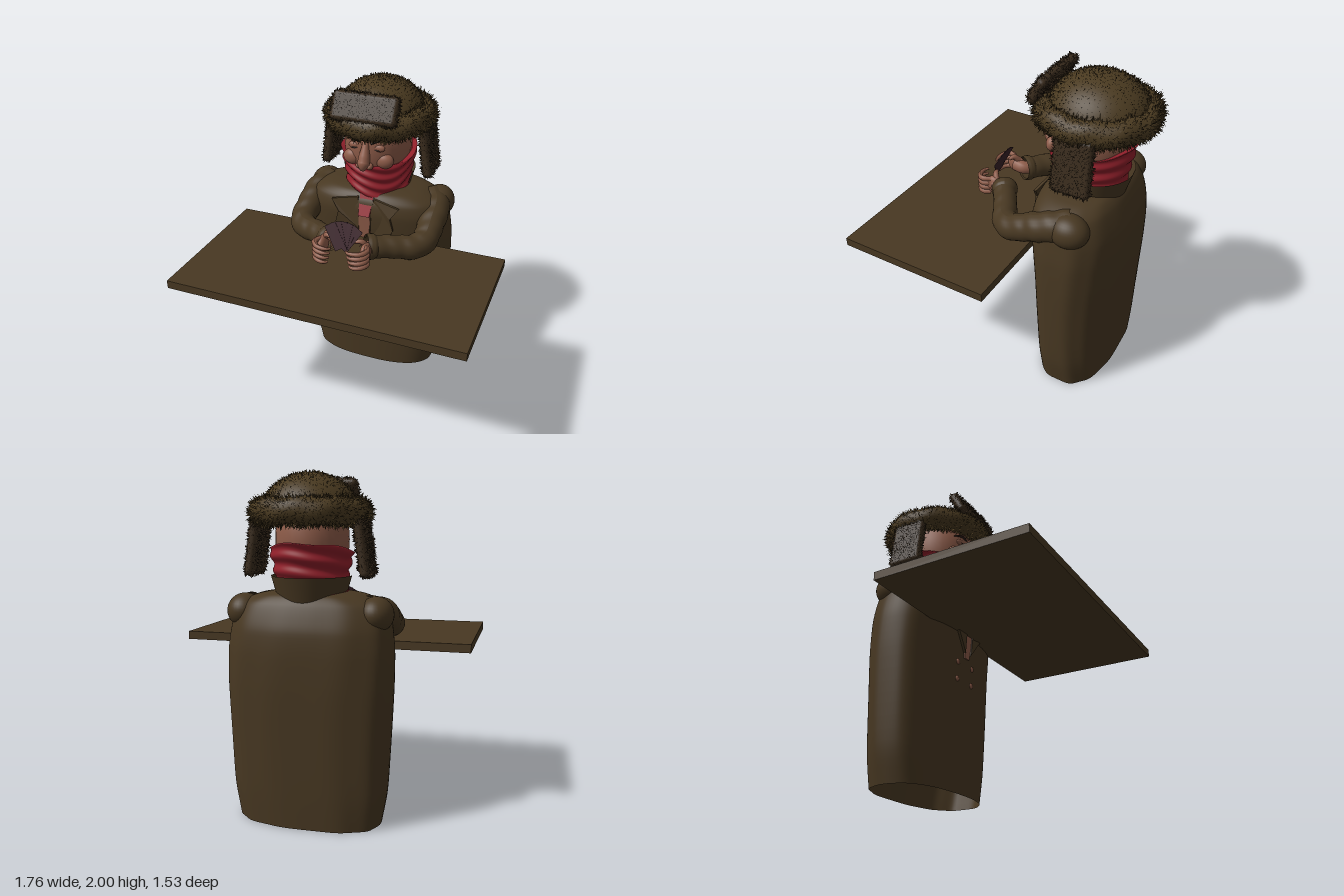
import * as THREE from 'three';
import { RoundedBoxGeometry } from 'three/addons/geometries/RoundedBoxGeometry.js';

const V = (x, y, z) => new THREE.Vector3(x, y, z);
const paint = (name, color, side = THREE.FrontSide) => {
  const m = new THREE.MeshStandardMaterial({ color, side });
  m.name = name;
  return m;
};

let seed = 7;
const rand = () => (seed = (seed * 16807) % 2147483647) / 2147483647;

// Closed loft: f(u, a) gives a point for height u (0..1) and angle a (0 = front)
function loft(rows, cols, f) {
  const pos = [], idx = [];
  for (let i = 0; i <= rows; i++)
    for (let j = 0; j < cols; j++) pos.push(...f(i / rows, (j / cols) * Math.PI * 2));
  for (let i = 0; i < rows; i++)
    for (let j = 0; j < cols; j++) {
      const a = i * cols + j, b = i * cols + ((j + 1) % cols);
      idx.push(a, b, a + cols, b, b + cols, a + cols);
    }
  const g = new THREE.BufferGeometry();
  g.setAttribute('position', new THREE.Float32BufferAttribute(pos, 3));
  g.setIndex(idx);
  g.computeVertexNormals();
  return g;
}

// Tube with a radius that varies along its path, plus optional wrinkles
function limb(pts, radii, steps = 24, sides = 16, wrinkle = 0) {
  const curve = new THREE.CatmullRomCurve3(pts);
  const g = new THREE.TubeGeometry(curve, steps, 1, sides);
  const p = g.attributes.position, v = V(0, 0, 0);
  for (let i = 0; i < p.count; i++) {
    const t = Math.floor(i / (sides + 1)) / steps, k = t * (radii.length - 1);
    const n = Math.min(Math.floor(k), radii.length - 2);
    let r = THREE.MathUtils.lerp(radii[n], radii[n + 1], k - n);
    r *= 1 + wrinkle * Math.sin(t * 48 + 2 * Math.sin(((i % (sides + 1)) / sides) * Math.PI * 2));
    const c = curve.getPointAt(t);
    v.fromBufferAttribute(p, i).sub(c).multiplyScalar(r).add(c);
    p.setXYZ(i, v.x, v.y, v.z);
  }
  g.computeVertexNormals();
  return g;
}

// Scatters small hair blades over a surface
function tufts(geometry, density, length) {
  const src = geometry.index ? geometry.toNonIndexed() : geometry;
  const p = src.attributes.position, pos = [], nor = [];
  const a = V(), b = V(), c = V();
  for (let i = 0; i < p.count; i += 3) {
    a.fromBufferAttribute(p, i);
    b.fromBufferAttribute(p, i + 1).sub(a);
    c.fromBufferAttribute(p, i + 2).sub(a);
    const n = b.clone().cross(c), area = n.length() / 2;
    if (area < 1e-9) continue;
    n.normalize();
    for (let k = Math.floor(area * density + rand()); k > 0; k--) {
      let s = rand(), t = rand();
      if (s + t > 1) { s = 1 - s; t = 1 - t; }
      const root = a.clone().addScaledVector(b, s).addScaledVector(c, t);
      const lean = V(rand() - 0.5, rand() - 0.5, rand() - 0.5);
      const side = lean.clone().cross(n).normalize().multiplyScalar(0.006);
      const tip = root.clone().addScaledVector(n, length * (0.5 + rand() * 0.7)).addScaledVector(lean, length * 1.5);
      for (const q of [root.clone().sub(side), root.clone().add(side), tip]) {
        pos.push(q.x, q.y, q.z);
        nor.push(n.x, n.y, n.z);
      }
    }
  }
  const g = new THREE.BufferGeometry();
  g.setAttribute('position', new THREE.Float32BufferAttribute(pos, 3));
  g.setAttribute('normal', new THREE.Float32BufferAttribute(nor, 3));
  return g;
}

// Coat outline: height, half width, front z, back z
const COAT = [
  [0, 0.42, -0.18, -0.62], [0.2, 0.455, -0.17, -0.63], [0.5, 0.472, -0.158, -0.64], [0.8, 0.483, -0.147, -0.65],
  [1.0, 0.48, -0.13, -0.65], [1.12, 0.465, -0.118, -0.64], [1.2, 0.45, -0.115, -0.615], [1.27, 0.41, -0.13, -0.585],
  [1.315, 0.31, -0.165, -0.55], [1.335, 0.18, -0.22, -0.5], [1.34, 0.08, -0.3, -0.42],
];
const frontZ = (y) => {
  const i = Math.max(1, COAT.findIndex((r) => r[0] >= y));
  const [p, q] = [COAT[i - 1], COAT[i]];
  return THREE.MathUtils.lerp(p[2], q[2], (y - p[0]) / (q[0] - p[0]));
};
const power = (v, e) => Math.sign(v) * Math.abs(v) ** e;

export function createModel() {
  const model = new THREE.Group();
  const coat = paint('coat brown', 0x483822, THREE.DoubleSide);
  const wood = paint('table brown', 0x483822);
  const skin = paint('skin', 0x8e5c49);
  const red = paint('scarf red', 0x901f2a, THREE.DoubleSide);
  const fur = paint('hat fur', 0x4a3a20, THREE.DoubleSide);
  const darkFur = paint('dark fur', 0x3a2c1d, THREE.DoubleSide);
  const cardBack = paint('card purple', 0x3b2229);
  const dark = paint('brow dark', 0x2c1d17);

  const add = (name, geometry, material, x = 0, y = 0, z = 0) => {
    const m = new THREE.Mesh(geometry, material);
    m.name = name;
    m.position.set(x, y, z);
    model.add(m);
    return m;
  };
  const ball = (name, material, x, y, z, rx, ry, rz) =>
    add(name, new THREE.SphereGeometry(1, 32, 20), material, x, y, z).scale.set(rx, ry, rz);

  // Table
  add('tableTop', new THREE.BoxGeometry(1.765, 0.05, 0.935), wood, 0, 1.005, 0.288);

  // Coat body with soft vertical folds, open at the hem
  const outer = new THREE.CatmullRomCurve3(COAT.map((r) => V(r[1], r[0], r[2])), false, 'catmullrom', 0.4);
  const rear = new THREE.CatmullRomCurve3(COAT.map((r) => V(0, r[0], r[3])), false, 'catmullrom', 0.4);
  add('coatBody', loft(44, 96, (u, a) => {
    const p = outer.getPoint(u), b = rear.getPoint(u).z;
    const back = Math.max(0, 0.4 - Math.cos(a));
    const fold = 1 + 0.011 * Math.sin(a * 11 + 1.5 * Math.sin(p.y * 3)) * Math.min(1, back + 0.2) * (1 - u * 0.6);
    const mid = (p.z + b) / 2, half = (p.z - b) / 2;
    return [p.x * power(Math.sin(a), 0.78) * fold, p.y, mid + half * power(Math.cos(a), 0.78) * fold];
  }), coat);

  // Thin pieces lying on the coat front
  const plate = (name, pts, material, lift, depth) => {
    const g = new THREE.ExtrudeGeometry(new THREE.Shape(pts.map((p) => new THREE.Vector2(...p))), { depth, bevelEnabled: false });
    const p = g.attributes.position;
    for (let i = 0; i < p.count; i++) p.setZ(i, p.getZ(i) + lift + frontZ(p.getY(i)));
    g.computeVertexNormals();
    add(name, g, material);
  };
  plate('shirtStrip', [[-0.025, 0.83], [0.025, 0.83], [0.038, 1.0], [0.038, 1.2], [-0.038, 1.2], [-0.038, 1.0]], skin, 0.004, 0.008);
  plate('scarfEnd', [[-0.036, 1.19], [0.036, 1.19], [0.045, 1.32], [-0.045, 1.32]], red, 0.006, 0.016);
  for (const s of [1, -1]) {
    plate('lapel', [[0.03, 0.86], [0.13, 0.99], [0.19, 1.12], [0.17, 1.2], [0.22, 1.27], [0.05, 1.3], [0.036, 1.1]]
      .map(([x, y]) => [x * s, y]), coat, 0.003, 0.016);
    for (const y of [0.79, 0.68]) ball('button', skin, s * 0.08, y, frontZ(y), 0.017, 0.017, 0.01);
  }

  // Turned-up collar behind the neck
  const collar = new THREE.CylinderGeometry(0.245, 0.2, 0.15, 40, 3, true, Math.PI * 0.45, Math.PI * 1.1);
  add('collar', collar, coat, 0, 1.345, -0.375).scale.x = 0.93;

  // Sleeves, cuffs and hands
  for (const s of [1, -1]) {
    const path = [[0.34, 1.235, -0.43], [0.39, 1.215, -0.34], [0.403, 1.165, -0.2], [0.4, 1.115, -0.07],
      [0.355, 1.105, 0], [0.25, 1.12, 0.065], [0.12, 1.14, 0.15]].map(([x, y, z]) => V(s * x, y, z));
    add('sleeve', limb(path, [0.085, 0.09, 0.086, 0.08, 0.078, 0.072, 0.07, 0.068], 60, 24, 0.025), coat);
    ball('shoulder', coat, s * 0.385, 1.215, -0.43, 0.1, 0.1, 0.12);
    add('cuff', limb([V(s * 0.165, 1.133, 0.12), V(s * 0.14, 1.137, 0.137), V(s * 0.112, 1.141, 0.155)],
      [0.066, 0.078, 0.079, 0.074], 12, 24), coat);
    add('wrist', limb([V(s * 0.18, 1.13, 0.11), V(s * 0.125, 1.14, 0.16), V(s * 0.13, 1.145, 0.22)], [0.04, 0.04, 0.045]), skin);
    ball('palm', skin, s * 0.135, 1.145, 0.22, 0.03, 0.058, 0.06);
    for (let i = 0; i < 4; i++) {
      const y = 1.095 + i * 0.031, reach = 0.006 * i;
      add('finger', limb([V(s * 0.145, y, 0.23), V(s * 0.162, y, 0.28), V(s * 0.13, y - 0.005, 0.32),
        V(s * (0.085 - reach), y - 0.008, 0.325), V(s * (0.066 - reach), y - 0.008, 0.31)],
      [0.015, 0.017, 0.015, 0.013, 0.007], 16, 10), skin);
    }
    add('thumb', limb([V(s * 0.13, 1.18, 0.2), V(s * 0.105, 1.21, 0.22), V(s * 0.07, 1.205, 0.235)], [0.02, 0.017, 0.008], 12, 10), skin);
  }

  // Fan of cards
  const hand = new THREE.Group();
  hand.name = 'cardFan';
  hand.position.set(0, 1.155, 0.262);
  hand.rotation.x = -0.34;
  for (let i = 0; i < 6; i++) {
    const card = new THREE.Mesh(new THREE.BoxGeometry(0.072, 0.16, 0.002).translate(0, 0.085, i * 0.002), cardBack);
    card.name = 'card';
    card.rotation.z = (i - 2.5) * 0.22;
    hand.add(card);
  }
  model.add(hand);

  // Head and face
  ball('head', skin, 0, 1.62, -0.355, 0.207, 0.3, 0.235);
  add('neck', new THREE.CylinderGeometry(0.14, 0.15, 0.25, 24), skin, 0, 1.4, -0.37);
  add('nose', limb([V(0, 1.68, -0.135), V(0, 1.62, -0.115), V(0, 1.56, -0.095), V(0, 1.53, -0.085), V(0, 1.51, -0.105)],
    [0.016, 0.024, 0.034, 0.038, 0.01], 24, 16), skin);
  for (const s of [1, -1]) {
    ball('nostril', skin, s * 0.034, 1.53, -0.108, 0.02, 0.02, 0.026);
    ball('cheek', skin, s * 0.1, 1.55, -0.175, 0.06, 0.05, 0.04);
    ball('eyelid', skin, s * 0.077, 1.638, -0.146, 0.038, 0.023, 0.018);
    add('eyeSlit', limb([V(s * 0.042, 1.632, -0.135), V(s * 0.077, 1.628, -0.129), V(s * 0.112, 1.632, -0.148)], [0.002, 0.004, 0.002], 10, 6), dark);
    add('eyebrow', limb([V(s * 0.035, 1.668, -0.124), V(s * 0.075, 1.685, -0.137), V(s * 0.125, 1.675, -0.168)], [0.006, 0.008, 0.003], 12, 8), dark);
  }

  // Scarf: wrinkled wrap, higher at the back, with a rolled lip
  add('scarf', loft(40, 80, (u, a) => {
    const t = Math.min(1, u / 0.9), lip = Math.max(0, u - 0.9) / 0.1;
    const c = Math.cos(a), f = (1 + c) / 2;
    const wave = 0.008 * Math.sin(t * 20 + 2.2 * Math.sin(a * 2) + Math.sin(a * 3)) * (1 - lip);
    const rx = 0.2 + 0.038 * t * t + wave - 0.035 * lip;
    const rz = 0.195 + 0.05 * t + 0.03 * f * (1 - t) + wave - 0.035 * lip;
    const top = 1.605 - 0.09 * f + 0.005 * Math.sin(a * 5), bottom = 1.33 - 0.025 * f;
    return [rx * Math.sin(a), bottom + (top - bottom) * t - 0.012 * lip, -0.375 + rz * c];
  }), red);

  // Fur hat: crown, rolled brim, front flap and ear flaps
  const furry = (name, g, material, density, length) => {
    add(name, g, material);
    add(name + 'Hair', tufts(g, density, length), material);
  };
  const crown = new THREE.SphereGeometry(1, 48, 16, 0, Math.PI * 2, 0, Math.PI / 2).scale(0.27, 0.225, 0.29).translate(0, 1.76, -0.395);
  furry('hatCrown', crown, fur, 5000, 0.01);
  const brim = loft(20, 72, (u, a) => {
    const b = -u * Math.PI * 2, r = 0.066 + 0.004 * Math.sin(a * 9 + b * 2);
    const out = -Math.cos(b) * r;
    return [(0.27 + out) * Math.sin(a), 1.772 + Math.sin(b) * r * 1.08, -0.385 + (0.287 + out) * Math.cos(a)];
  });
  // Face the brim outward
  const ix = brim.index.array;
  const n = brim.attributes.normal;
  const topRow = 72 * 5;
  if (n.getY(topRow) * (brim.attributes.position.getY(topRow) - 1.772) < 0) {
    for (let i = 0; i < ix.length; i += 3) [ix[i], ix[i + 1]] = [ix[i + 1], ix[i]];
    brim.computeVertexNormals();
  }
  furry('hatBrim', brim, fur, 7000, 0.02);
  const frontFlap = new RoundedBoxGeometry(0.4, 0.17, 0.055, 4, 0.025).rotateX(-0.5).translate(0, 1.885, -0.108);
  furry('hatFrontFlap', frontFlap, darkFur, 14000, 0.013);
  for (const s of [1, -1]) {
    const flap = new RoundedBoxGeometry(0.052, 0.33, 0.225, 4, 0.024).rotateZ(s * 0.14).translate(s * 0.312, 1.585, -0.4);
    furry('earFlap', flap, darkFur, 12000, 0.013);
  }
  return model;
}
